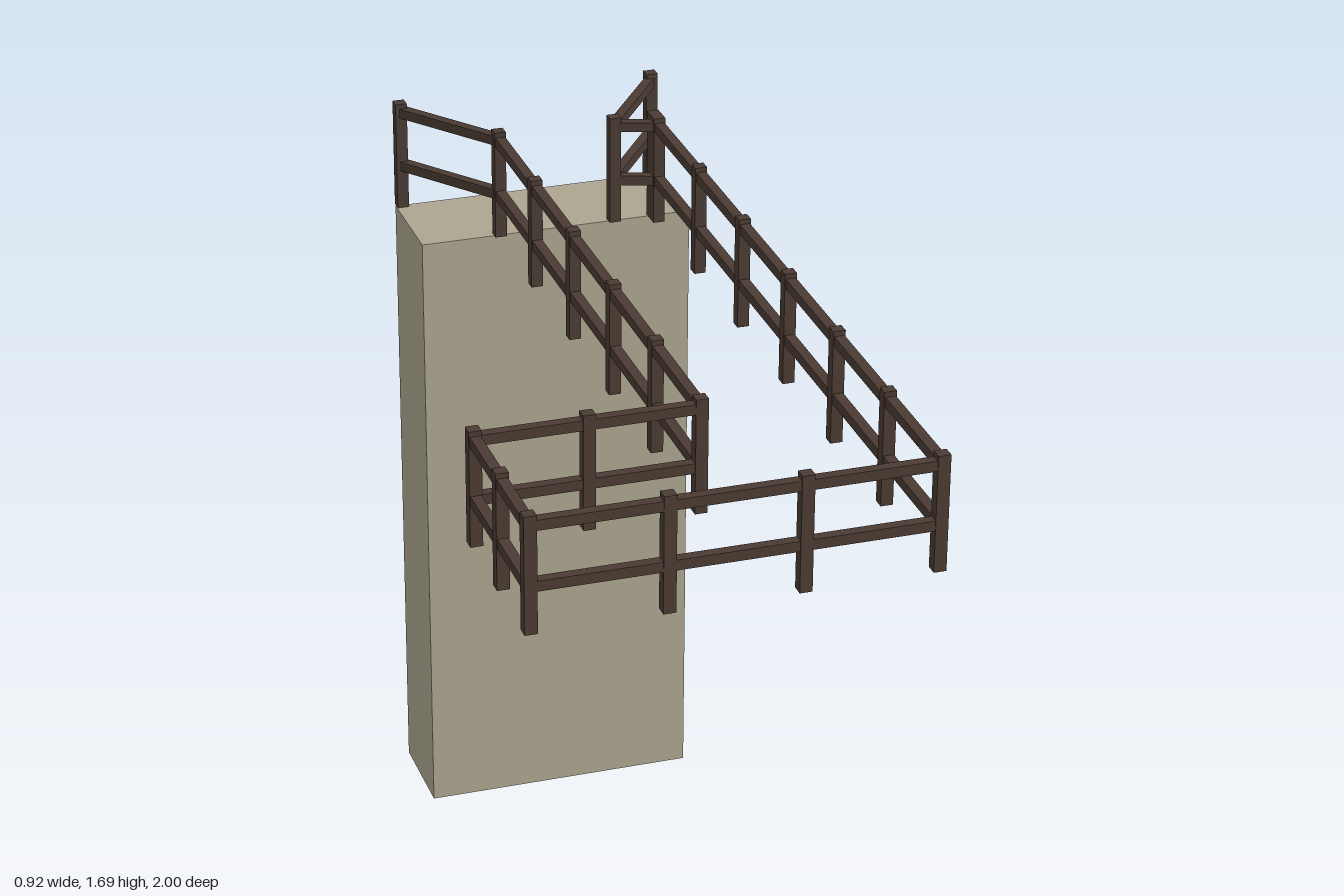
import * as THREE from 'three';

const wood = new THREE.MeshStandardMaterial({ color: 0x4a3b33 });
const stone = new THREE.MeshStandardMaterial({ color: 0xaca58f });

const BASE = 1.44, POST_H = 0.25, POST_W = 0.026, RAIL_W = 0.022;
const RAIL_HEIGHTS = [1.54, 1.668];

function addBox(parent, name, size, position, material, turn = 0) {
  const mesh = new THREE.Mesh(new THREE.BoxGeometry(...size), material);
  mesh.name = name;
  mesh.position.set(...position);
  mesh.rotation.y = turn;
  parent.add(mesh);
}

function addPost(parent, x, z) {
  addBox(parent, 'post', [POST_W, POST_H, POST_W], [x, BASE + POST_H / 2, z], wood);
}

// One straight run: two rails, plus a post at the start of every bay
function addRun(parent, [x0, z0], [x1, z1], bays) {
  const dx = x1 - x0, dz = z1 - z0;
  for (const y of RAIL_HEIGHTS) {
    addBox(parent, 'rail', [RAIL_W, RAIL_W, Math.hypot(dx, dz)],
      [(x0 + x1) / 2, y, (z0 + z1) / 2], wood, Math.atan2(dx, dz));
  }
  for (let i = 0; i < bays; i++) addPost(parent, x0 + dx * i / bays, z0 + dz * i / bays);
}

export function createModel() {
  const model = new THREE.Group();
  model.name = 'fencedWalkway';

  // Tall stone pier under the back end
  addBox(model, 'pier', [0.625, BASE, 0.225], [0.1425, BASE / 2, -0.875], stone);

  // Railing corners in order, with the number of bays to the next corner
  const fence = new THREE.Group();
  fence.name = 'fence';
  model.add(fence);
  const corners = [
    [-0.155, -0.987, 1],
    [0.01, -0.765, 5],
    [0.01, 0.622, 2],
    [-0.449, 0.622, 2],
    [-0.449, 0.987, 3],
    [0.37, 0.987, 6],
    [0.37, -0.735, 1],
    [0.277, -0.765, 1],
    [0.435, -0.987, 0],
  ];
  for (let i = 0; i < corners.length - 1; i++) {
    addRun(fence, corners[i], corners[i + 1], corners[i][2]);
  }
  const [endX, endZ] = corners[corners.length - 1];
  addPost(fence, endX, endZ);

  // Doubled post at the end of the long side
  addPost(fence, 0.37, -0.759);

  return model;
}
